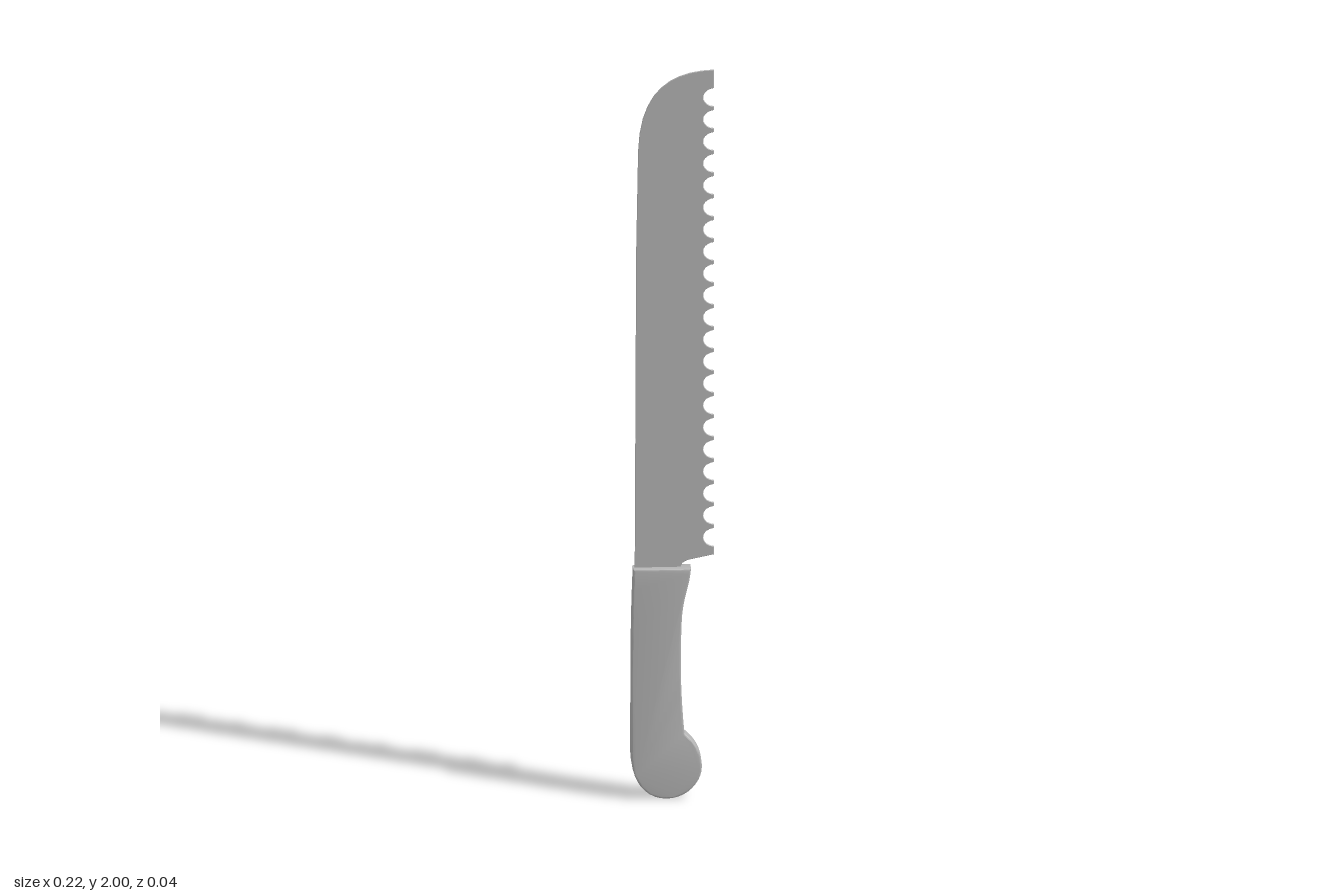
import * as THREE from 'three';
import { toCreasedNormals } from 'three/addons/utils/BufferGeometryUtils.js';

// Extrude an outline symmetrically about z = 0, with its bevel kept inside the outline
function slab(shape, thickness, bevel, segments) {
  const geo = new THREE.ExtrudeGeometry(shape, {
    depth: thickness - 2 * bevel,
    bevelEnabled: true,
    bevelThickness: bevel,
    bevelSize: bevel,
    bevelOffset: -bevel,
    bevelSegments: segments,
    curveSegments: 10,
  });
  geo.translate(0, 0, -(thickness - 2 * bevel) / 2);
  return toCreasedNormals(geo, 0.6);
}

// Blade outline: straight spine, rounded nose, scalloped cutting edge
function bladeShape() {
  const s = new THREE.Shape();
  const edge = 0.108, teeth = 21, top = 1.96, bottom = 0.69, tip = 0.01;
  const pitch = (top - bottom) / teeth;
  s.moveTo(0.022, 0.58);
  s.lineTo(0.022, 0.636);
  s.quadraticCurveTo(0.024, 0.65, 0.045, 0.655);
  s.lineTo(edge, 0.668);
  s.lineTo(edge, bottom);
  for (let i = 0; i < teeth; i++) {
    const y = bottom + i * pitch;
    s.bezierCurveTo(0.071, y + 0.004, 0.071, y + pitch - tip - 0.004, edge, y + pitch - tip);
    s.lineTo(edge, y + pitch);
  }
  s.lineTo(edge, 2);
  s.bezierCurveTo(0.0, 1.998, -0.083, 1.95, -0.088, 1.78);
  s.lineTo(-0.093, 1.5);
  s.lineTo(-0.097, 0.58);
  s.closePath();
  return s;
}

// Handle outline: straight back, hollowed grip and a bulbous butt
function handleShape() {
  const s = new THREE.Shape();
  s.moveTo(-0.101, 0.636);
  s.quadraticCurveTo(-0.107, 0.5, -0.107, 0.35);
  s.lineTo(-0.108, 0.13);
  s.bezierCurveTo(-0.106, 0.05, -0.07, 0.005, -0.015, 0.004);
  s.bezierCurveTo(0.04, 0.004, 0.076, 0.05, 0.076, 0.09);
  s.bezierCurveTo(0.076, 0.13, 0.058, 0.16, 0.031, 0.183);
  s.bezierCurveTo(0.02, 0.3, 0.02, 0.4, 0.024, 0.49);
  s.bezierCurveTo(0.027, 0.56, 0.044, 0.58, 0.048, 0.636);
  s.closePath();
  return s;
}

export function createModel() {
  const model = new THREE.Group();
  model.name = 'breadKnife';
  const steel = new THREE.MeshStandardMaterial({ color: 0xb4b4b4 });
  steel.name = 'light grey';

  const blade = new THREE.Mesh(slab(bladeShape(), 0.005, 0.001, 1), steel);
  blade.name = 'blade';

  const handle = new THREE.Mesh(slab(handleShape(), 0.04, 0.005, 3), steel);
  handle.name = 'handle';

  model.add(blade, handle);
  // The knife is turned very slightly about its length
  for (const part of model.children) part.rotation.y = -0.018;
  return model;
}
